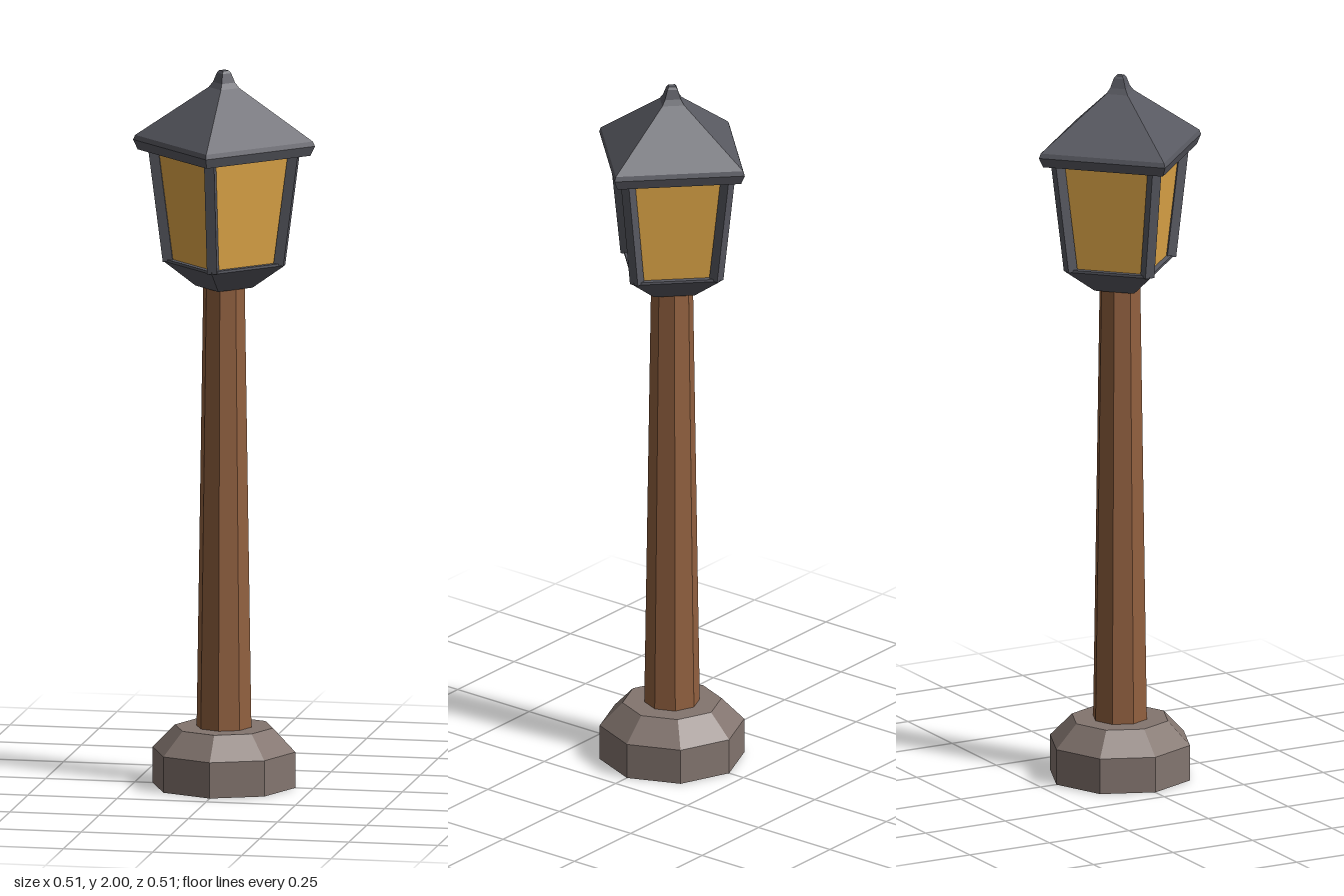
import * as THREE from 'three';

const flat = (name, color) => {
  const m = new THREE.MeshStandardMaterial({ color });
  m.name = name;
  m.flatShading = true;
  return m;
};

export function createModel() {
  const stone = flat('stone', 0x83756f);
  const wood = flat('wood', 0x91603f);
  const metal = flat('dark metal', 0x585961);
  const glass = flat('amber glass', 0xe0a748);
  const lamp = new THREE.Group();
  lamp.name = 'streetLamp';

  // Faceted solid from a bottom-to-top profile of [radius, height]
  const turned = (name, sides, profile, material) => {
    const points = profile.map(([r, y]) => new THREE.Vector2(r, y));
    const mesh = new THREE.Mesh(new THREE.LatheGeometry(points, sides), material);
    mesh.name = name;
    lamp.add(mesh);
  };

  // Octagonal stone foot and tapered post
  turned('base', 8, [[0, 0], [0.2, 0], [0.2, 0.1], [0.137, 0.165], [0, 0.165]], stone);
  turned('post', 8, [[0, 0.15], [0.077, 0.15], [0.058, 1.41], [0, 1.41]], wood);

  // Four-sided lantern with its corners on the axes
  turned('lanternCup', 4, [[0, 1.395], [0.08, 1.395], [0.17, 1.46], [0.17, 1.467], [0, 1.467]], metal);
  turned('lanternGlass', 4, [[0.149, 1.466], [0.191, 1.78]], glass);
  turned('roof', 4, [
    [0, 1.77], [0.242, 1.77], [0.255, 1.797], [0.249, 1.81],
    [0.043, 1.952], [0.031, 1.967], [0.02, 1.993], [0.013, 2], [0, 2],
  ], metal);

  // Leaning corner bars
  const foot = new THREE.Vector3(0, 1.462, 0.155);
  const head = new THREE.Vector3(0, 1.785, 0.197);
  const lean = head.clone().sub(foot);
  for (let i = 0; i < 4; i++) {
    const corner = new THREE.Group();
    corner.name = 'cornerBar' + (i + 1);
    corner.rotation.y = i * Math.PI / 2;
    const bar = new THREE.Mesh(new THREE.BoxGeometry(0.028, lean.length(), 0.028), metal);
    bar.name = 'bar';
    bar.position.copy(foot).add(head).multiplyScalar(0.5);
    bar.rotation.x = Math.atan2(lean.z, lean.y);
    corner.add(bar);
    lamp.add(corner);
  }
  return lamp;
}
